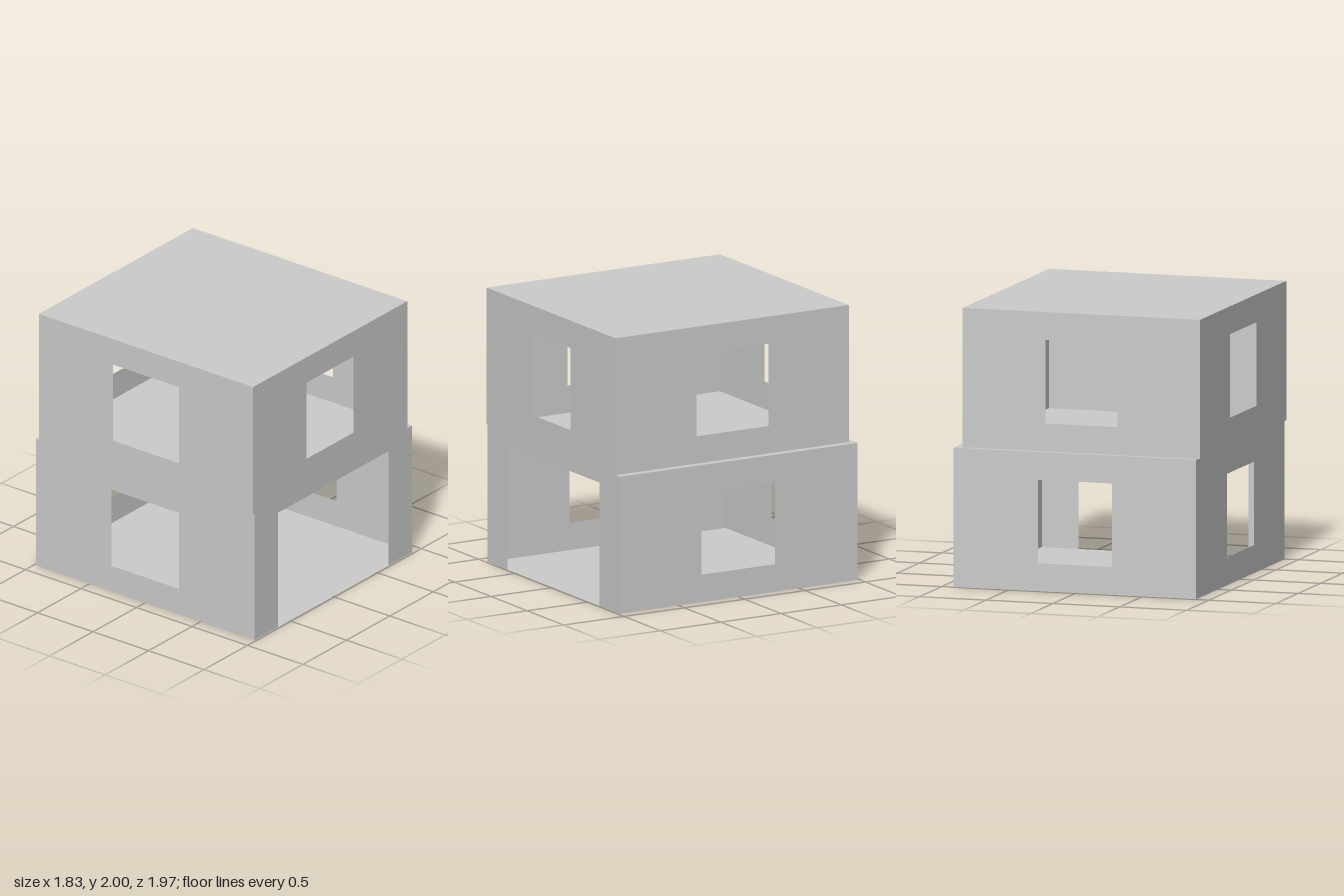
import * as THREE from 'three';

const material = new THREE.MeshStandardMaterial({ color: 0xcccccc, flatShading: true, side: THREE.DoubleSide });

// Clockwise or counter-clockwise rectangle as a list of points
const rect = (u0, u1, v0, v1) =>
  [[u0, v0], [u1, v0], [u1, v1], [u0, v1]].map(([u, v]) => new THREE.Vector2(u, v));

// Thin upright wall with a rectangular window
function wall(name, [u0, u1], [w0, w1]) {
  const shape = new THREE.Shape(rect(u0, u1, 0, 1));
  shape.holes.push(new THREE.Path(rect(w0, w1, 0.2, 0.8)));
  return named(name, new THREE.ShapeGeometry(shape));
}

// Thin wall with a doorway open to the ground
function doorWall(name, [u0, u1], [d0, d1], doorHeight) {
  const points = [[u0, 0], [d0, 0], [d0, doorHeight], [d1, doorHeight], [d1, 0], [u1, 0], [u1, 1], [u0, 1]];
  return named(name, new THREE.ShapeGeometry(new THREE.Shape(points.map(([u, v]) => new THREE.Vector2(u, v)))));
}

function named(name, geometry) {
  const mesh = new THREE.Mesh(geometry, material);
  mesh.name = name;
  return mesh;
}

// One storey: floor, ceiling and four thin walls
function storey(name, { y, x, z, windowX, windowZ, door }) {
  const group = new THREE.Group();
  group.name = name;
  group.position.y = y;

  const front = door ? doorWall('frontWall', x, door, 0.9) : wall('frontWall', x, windowX);
  front.position.z = z[1];
  const back = wall('backWall', x, windowX);
  back.position.z = z[0];
  group.add(front, back);

  // Side walls are drawn in z and y, then turned into place
  ['rightWall', 'leftWall'].forEach((sideName, i) => {
    const side = wall(sideName, z, windowZ);
    side.rotation.y = -Math.PI / 2;
    side.position.x = x[i];
    group.add(side);
  });

  ['floor', 'ceiling'].forEach((slabName, level) => {
    const slab = named(slabName, new THREE.PlaneGeometry(x[1] - x[0], z[1] - z[0]));
    slab.rotation.x = -Math.PI / 2;
    slab.position.set((x[0] + x[1]) / 2, level, (z[0] + z[1]) / 2);
    group.add(slab);
  });
  return group;
}

export function createModel() {
  const model = new THREE.Group();
  model.name = 'house';
  model.add(
    storey('groundStorey', {
      y: 0, x: [-0.9, 0.915], z: [-0.985, 0.985],
      windowX: [-0.27, 0.285], windowZ: [-0.302, 0.305], door: [-0.63, 0.64],
    }),
    storey('upperStorey', {
      y: 1, x: [-0.915, 0.86], z: [-0.947, 0.985],
      windowX: [-0.3, 0.242], windowZ: [-0.28, 0.316],
    }),
  );
  return model;
}
